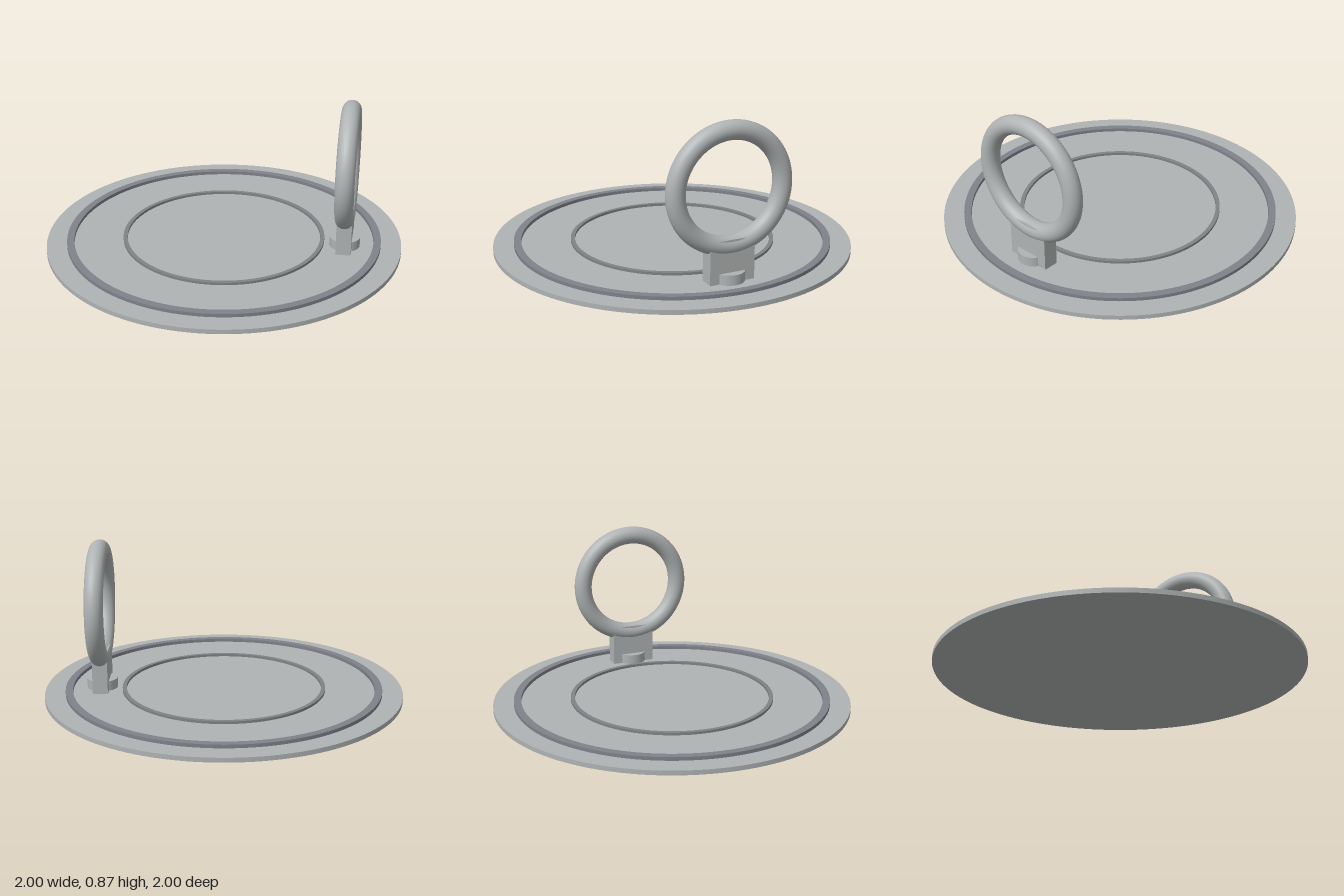
import * as THREE from 'three';

export function createModel() {
  const model = new THREE.Group();
  const steel = new THREE.MeshStandardMaterial({ color: 0xafb3b3 });
  steel.name = 'light steel';
  const seal = new THREE.MeshStandardMaterial({ color: 0x80828a });
  seal.name = 'dark seal';
  const groove = new THREE.MeshStandardMaterial({ color: 0x808386 });
  groove.name = 'dark steel';

  const add = (name, geometry, material, x, y, z = 0) => {
    const mesh = new THREE.Mesh(geometry, material);
    mesh.name = name;
    mesh.position.set(x, y, z);
    model.add(mesh);
    return mesh;
  };

  // Flat annulus standing on the plate
  const annulus = (inner, outer, height) => {
    const shape = new THREE.Shape().absarc(0, 0, outer, 0, Math.PI * 2);
    shape.holes.push(new THREE.Path().absarc(0, 0, inner, 0, Math.PI * 2, true));
    return new THREE.ExtrudeGeometry(shape, { depth: height, bevelEnabled: false, curveSegments: 96 })
      .rotateX(-Math.PI / 2);
  };

  // Round plate with two raised rings
  const plateTop = 0.025;
  add('plate', new THREE.CylinderGeometry(1, 1, plateTop, 128), steel, 0, plateTop / 2);
  add('outerRing', annulus(0.845, 0.886, 0.02), seal, 0, plateTop - 0.001);
  add('innerRing', annulus(0.547, 0.57, 0.015), groove, 0, plateTop - 0.001);

  // Pull ring on its post, with a round boss at the foot
  const handleX = 0.685;
  add('boss', new THREE.CylinderGeometry(0.085, 0.085, 0.06, 48), steel, handleX, 0.05);
  add('post', new THREE.BoxGeometry(0.084, 0.235, 0.252), steel, handleX, 0.1375);
  add('pullRing', new THREE.TorusGeometry(0.3, 0.051, 32, 96), steel, handleX, 0.514)
    .rotation.y = Math.PI / 2;

  return model;
}
